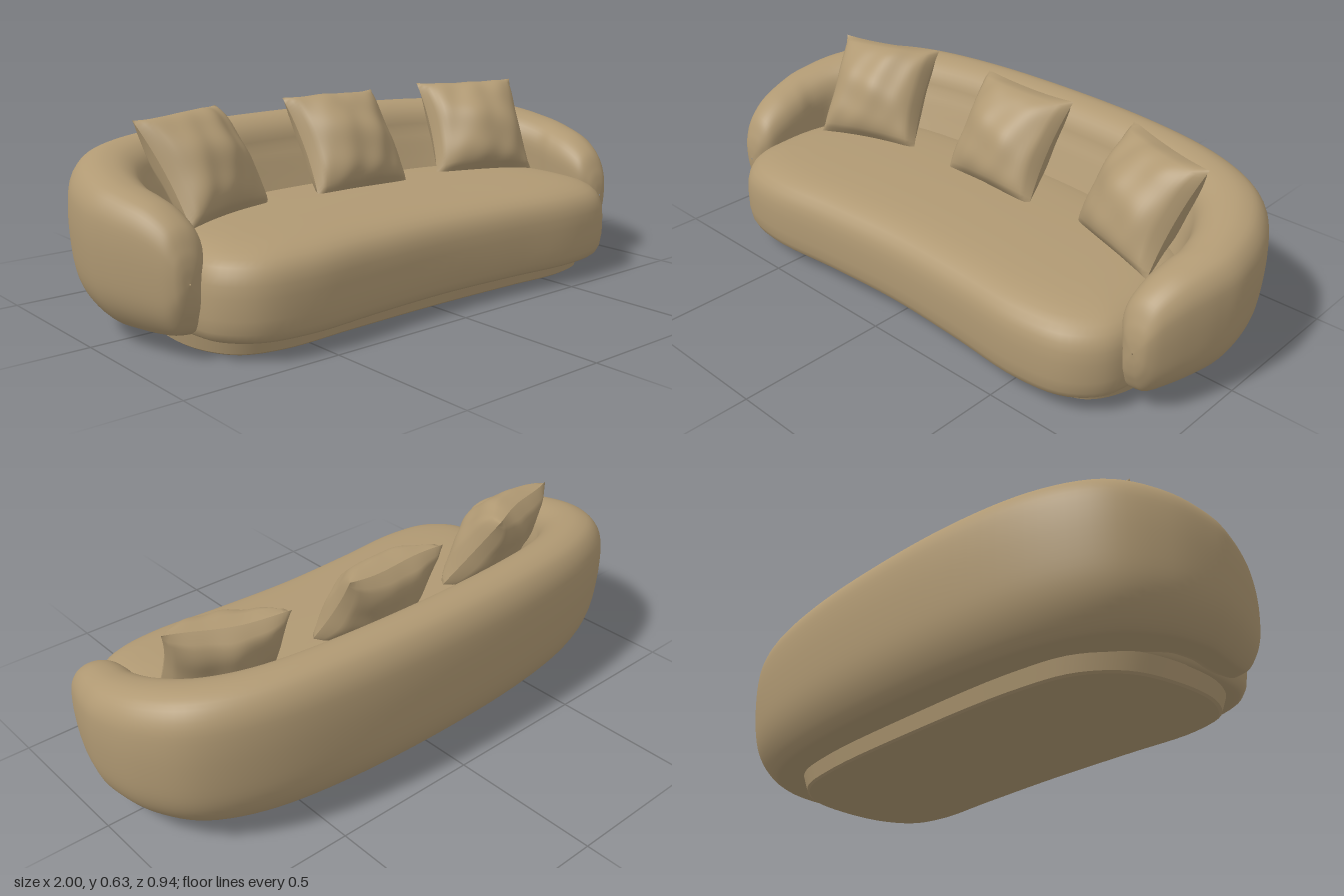
import * as THREE from 'three';
import { mergeGeometries, toCreasedNormals } from 'three/addons/utils/BufferGeometryUtils.js';

const V = (x, y, z) => new THREE.Vector3(x, y, z);

// Skin closed rings of equal length into one smooth surface
function loft(rings) {
  const n = rings[0].length, pos = [], idx = [];
  rings.forEach(r => r.forEach(p => pos.push(p.x, p.y, p.z)));
  for (let i = 0; i < rings.length - 1; i++) {
    for (let j = 0; j < n; j++) {
      const k = (j + 1) % n, a = i * n + j, b = i * n + k;
      idx.push(a, b, b + n, a, b + n, a + n);
    }
  }
  const g = new THREE.BufferGeometry();
  g.setAttribute('position', new THREE.Float32BufferAttribute(pos, 3));
  g.setIndex(idx);
  g.computeVertexNormals();
  return g;
}

// Cushion-like slab: mirrored plan outline [x, z], layers [inset, y]
function slab(half, layers) {
  const pts = half.map(([x, z]) => V(x, 0, z));
  const mirrored = half.slice(1, -1).reverse().map(([x, z]) => V(-x, 0, z));
  const outline = new THREE.CatmullRomCurve3([...pts, ...mirrored], true).getPoints(96).slice(0, -1);
  const xs = half.map(p => p[0]), zs = half.map(p => p[1]);
  const rx = Math.max(...xs), z0 = Math.min(...zs), z1 = Math.max(...zs);
  const cz = (z0 + z1) / 2, rz = (z1 - z0) / 2;
  return loft(layers.map(([inset, y]) => outline.map(p => V(
    p.x * Math.max(0, 1 - inset / rx), y, cz + (p.z - cz) * Math.max(0, 1 - inset / rz)))));
}

// Wraparound back and arms: a section swept along paired outer/inner plan lines
function wrapGeometry() {
  // outer x, z, inner x, z, top, bottom; from back centre to arm tip
  const half = [
    [0, -.47, 0, -.26, .55, .06], [.35, -.457, .33, -.247, .548, .06],
    [.65, -.41, .57, -.21, .54, .06], [.86, -.315, .71, -.14, .527, .06],
    [.965, -.17, .78, -.04, .503, .06], [1, -.01, .8, .06, .474, .06],
    [.987, .1, .79, .13, .453, .061], [.957, .2, .785, .2, .427, .065],
    [.927, .27, .79, .27, .382, .08], [.905, .303, .813, .303, .325, .135],
    [.886, .316, .836, .316, .28, .185], [.862, .32, .858, .32, .235, .23],
  ];
  const rows = [
    ...half.slice(1).reverse().map(([a, b, c, d, e, f]) => [-a, b, -c, d, e, f]), ...half];
  const curve = f => new THREE.CatmullRomCurve3(rows.map(f), false, 'catmullrom');
  const outer = curve(r => V(r[0], 0, r[1]));
  const inner = curve(r => V(r[2], 0, r[3]));
  const height = curve(r => V(r[4], r[5], 0));
  // section: u = 1 outer, -1 inner; v = 0 bottom, 1 top
  const section = new THREE.CatmullRomCurve3([
    [0, 0], [.2, .015], [.5, .09], [.76, .2], [.9, .32], [.98, .5], [1, .68], [.94, .83],
    [.7, .94], [.35, .99], [-.05, 1], [-.5, .97], [-.85, .89], [-1, .78], [-1, .6],
    [-1, .4], [-.98, .15], [-.7, .01],
  ].map(([u, v]) => V(u, v, 0)), true).getPoints(56).slice(0, -1);
  const rings = [], N = 132;
  for (let i = 0; i <= N; i++) {
    const o = outer.getPoint(i / N), n = inner.getPoint(i / N), h = height.getPoint(i / N);
    // the inside of the back leans forward towards the seat
    const lean = THREE.MathUtils.clamp(-n.z / .2, 0, 1) * .8;
    rings.push(section.map(({ x: u, y: v }) => {
      const k = u < 0 ? u * (1 + lean * THREE.MathUtils.clamp((.8 - v) / .4, 0, 1)) : u;
      const p = n.clone().lerp(o, (k + 1) / 2);
      return V(p.x, h.y + (h.x - h.y) * v, p.z);
    }));
  }
  return loft(rings);
}

// Throw pillow: two puffed faces with drawn-in edges and soft creases
function pillowGeometry(seed) {
  const faces = [1, -1].map(side => {
    const g = new THREE.PlaneGeometry(2, 2, 28, 28);
    if (side < 0) g.rotateY(Math.PI);
    const p = g.attributes.position;
    for (let i = 0; i < p.count; i++) {
      const u = p.getX(i), v = p.getY(i);
      const a = Math.max(0, 1 - u * u), b = Math.max(0, 1 - v * v);
      const crease = 1 + .07 * Math.sin(5 * u + 3 * v + seed) * Math.sin(4 * v - 3 * u + 2 * seed)
        + .07 * Math.sin(11 * u - 4 * v + seed) * (u * u + v * v) / 2;
      p.setXYZ(i, .19 * u * (1 - .09 * b), .183 * v * (1 - .05 * a),
        side * .108 * Math.pow(a * b, .48) * crease + .006 * Math.sin(3 * u + seed) * v);
    }
    g.computeVertexNormals();
    return g;
  });
  return mergeGeometries(faces);
}

export function createModel() {
  const group = new THREE.Group();
  const fabric = new THREE.MeshStandardMaterial({ color: 0xb09973 });
  fabric.name = 'tan fabric';
  const add = (name, geometry) => {
    const mesh = new THREE.Mesh(geometry, fabric);
    mesh.name = name;
    group.add(mesh);
    return mesh;
  };

  add('backAndArms', wrapGeometry());

  // Seat with a gently hollowed front
  add('seat', slab(
    [[0, .436], [.3, .45], [.56, .469], [.72, .44], [.805, .36], [.83, .25], [.83, .08],
      [.77, -.1], [.58, -.23], [.3, -.285], [0, -.3]],
    [[1, .055], [.045, .055], [.025, .058], [.014, .068], [.005, .09], [0, .13], [0, .19],
      [.003, .225], [.009, .25], [.02, .272], [.037, .289], [.06, .302], [.09, .312],
      [.13, .319], [.19, .324], [.28, .327], [1, .328]]));

  // Recessed plinth
  add('base', toCreasedNormals(slab(
    [[0, .372], [.35, .38], [.6, .388], [.73, .345], [.795, .23], [.802, .04], [.76, -.12],
      [.65, -.225], [.45, -.27], [0, -.285]],
    [[1, 0], [.022, 0], [.014, .006], [0, .06], [1, .06]]), .5));

  // Pillows: x, z, yaw
  [[-.57, -.06, .32], [.02, -.1, -.03], [.59, -.055, -.34]].forEach(([x, z, yaw], i) => {
    const pillow = add(['rightPillow', 'middlePillow', 'leftPillow'][i], pillowGeometry(i * 2.1 + 1));
    pillow.position.set(x, .466, z);
    pillow.rotation.set(-.58, yaw, 0, 'YXZ');
  });

  return group;
}
